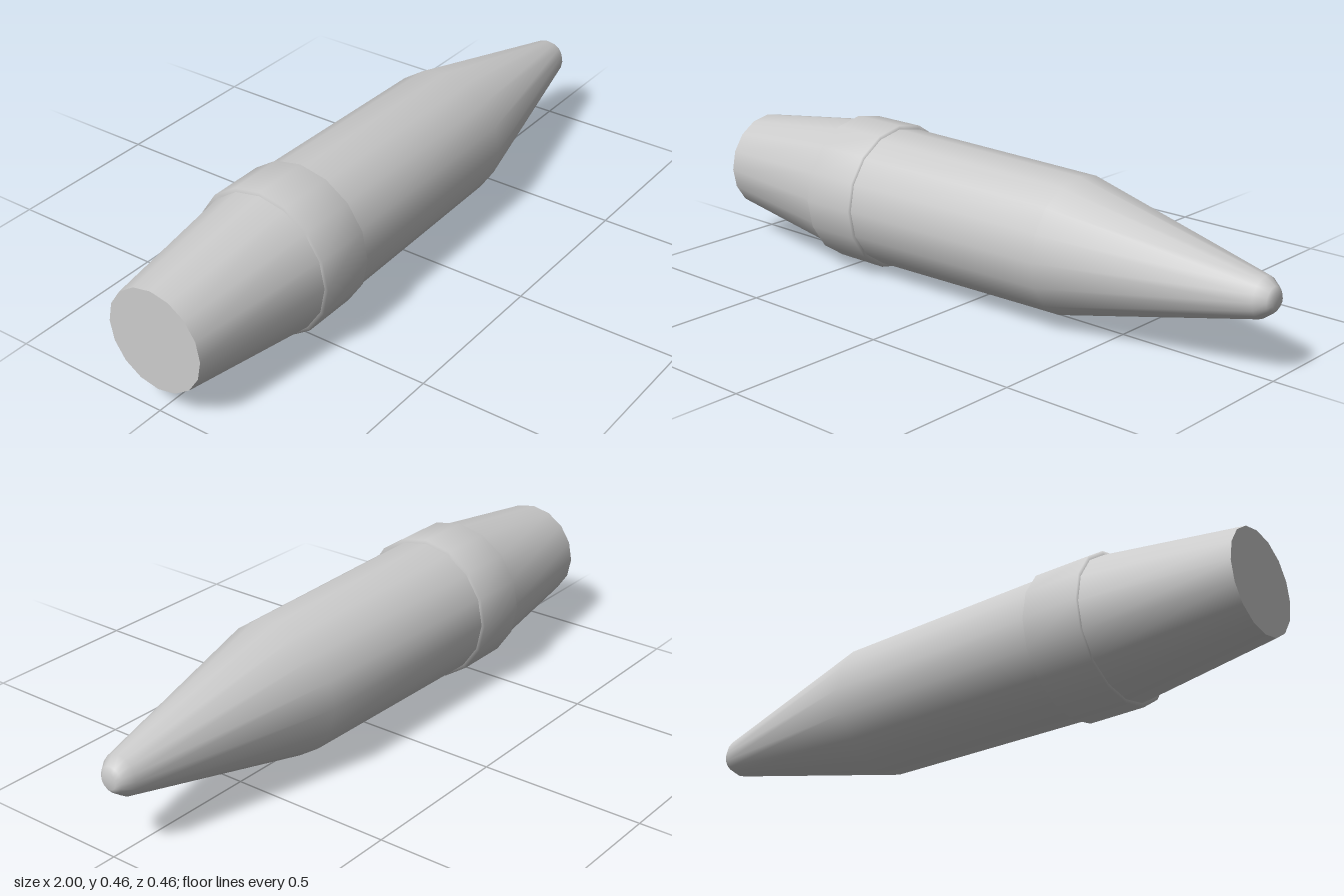
import * as THREE from 'three';

const SIDES = 16;
const RADIUS = 0.228;

export function createModel() {
  const model = new THREE.Group();
  const material = new THREE.MeshStandardMaterial({ color: 0xcccccc });

  // Turned part along x; each profile point is [x, radius], from -x to +x
  const turned = (name, profile) => {
    const points = profile.map(([x, r]) => new THREE.Vector2(r, x));
    const mesh = new THREE.Mesh(new THREE.LatheGeometry(points, SIDES), material);
    mesh.name = name;
    mesh.rotation.z = -Math.PI / 2;
    mesh.position.y = RADIUS;
    model.add(mesh);
  };

  // Tapered tail with a flat, sharp-edged end
  turned('tailEnd', [[-1, 0], [-1, 0.156]]);
  turned('tail', [[-1, 0.156], [-0.56, 0.216]]);

  // Raised collar with softly shaded edges
  turned('collar', [[-0.56, 0.2], [-0.56, RADIUS], [-0.38, RADIUS], [-0.38, 0.2]]);

  // Barrel narrowing to a blunt rounded tip
  turned('barrel', [
    [-0.38, 0.216], [0.33, 0.206], [0.96, 0.06], [0.99, 0.038], [1, 0.025], [1, 0],
  ]);

  return model;
}
